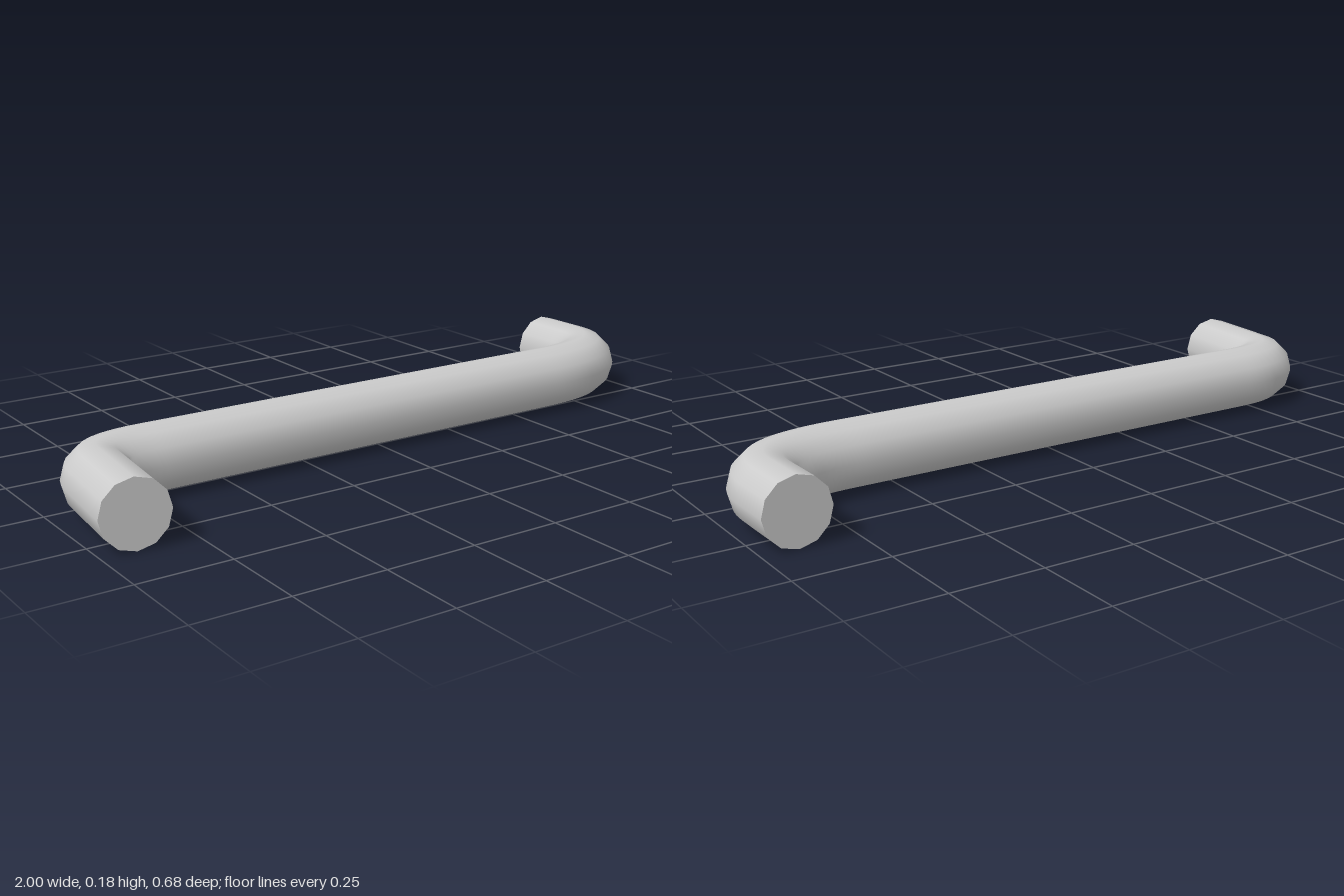
import * as THREE from 'three';

const R = 0.0915;
const SIDES = 12;
const v = (x, z) => new THREE.Vector3(x, R, z);

export function createModel() {
  const group = new THREE.Group();
  const material = new THREE.MeshStandardMaterial({ color: 0xcccccc });

  // Centre line: front leg, tight bend, long bar, wide bend, back leg
  const frontEnd = v(-0.909, 0.332), frontBend = v(-0.885, 0.09);
  const barStart = v(-0.7, -0.018), barEnd = v(0.62, -0.018);
  const backBend = v(0.907, -0.2), backEnd = v(0.905, -0.34);
  const path = new THREE.CurvePath();
  path.add(new THREE.LineCurve3(frontEnd, frontBend));
  path.add(new THREE.QuadraticBezierCurve3(frontBend, v(-0.874, -0.018), barStart));
  path.add(new THREE.LineCurve3(barStart, barEnd));
  path.add(new THREE.QuadraticBezierCurve3(barEnd, v(0.908, -0.018), backBend));
  path.add(new THREE.LineCurve3(backBend, backEnd));

  // Round bent rod
  const rod = new THREE.Mesh(new THREE.TubeGeometry(path, 100, R, SIDES, false), material);
  rod.name = 'bentRod';
  group.add(rod);

  // Flat discs closing both ends
  const addCap = (name, end, inner) => {
    const cap = new THREE.Mesh(new THREE.CircleGeometry(R, SIDES), material);
    cap.name = name;
    cap.position.copy(end);
    cap.lookAt(end.clone().multiplyScalar(2).sub(inner));
    group.add(cap);
  };
  addCap('frontEndCap', frontEnd, frontBend);
  addCap('backEndCap', backEnd, backBend);

  return group;
}
